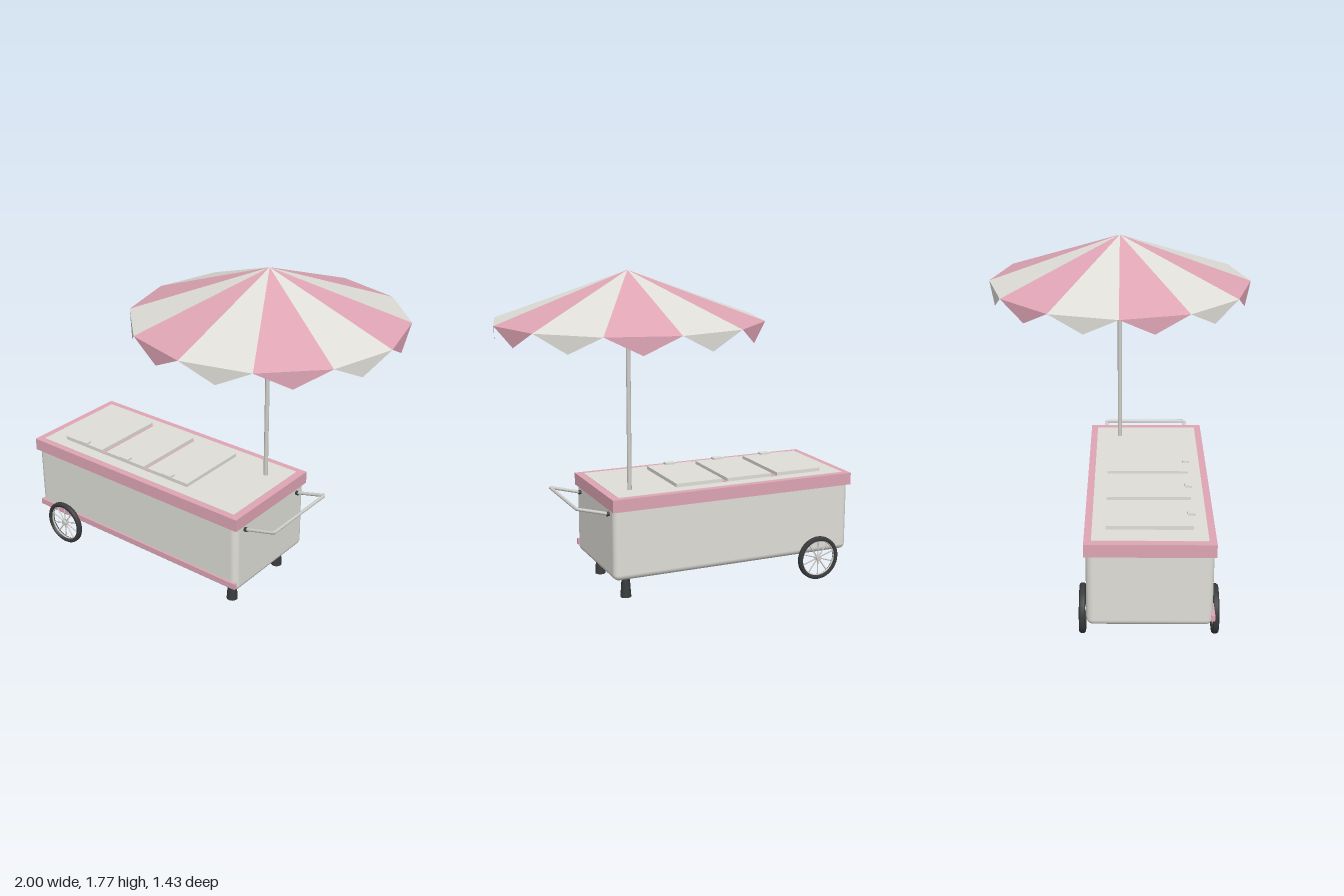
import * as THREE from 'three';
import { RoundedBoxGeometry } from 'three/addons/geometries/RoundedBoxGeometry.js';

const material = (name, color, side = THREE.FrontSide) => {
  const m = new THREE.MeshStandardMaterial({ color, side });
  m.name = name;
  return m;
};

export function createModel() {
  const root = new THREE.Group();
  root.name = 'streetCart';
  const cream = material('cream', 0xdfded8);
  const pink = material('pink', 0xdfa5b5);
  const creamCloth = material('creamCloth', 0xdfded8, THREE.DoubleSide);
  const pinkCloth = material('pinkCloth', 0xdfa5b5, THREE.DoubleSide);
  const metal = material('metal', 0xcfcec9);
  const dark = material('darkRubber', 0x3a3b3d);

  const add = (name, geometry, mat, x = 0, y = 0, z = 0, parent = root) => {
    const mesh = new THREE.Mesh(geometry, mat);
    mesh.name = name;
    mesh.position.set(x, y, z);
    parent.add(mesh);
    return mesh;
  };
  // Box given by its lower and upper corners
  const box = (name, mat, [x0, y0, z0], [x1, y1, z1]) =>
    add(name, new THREE.BoxGeometry(x1 - x0, y1 - y0, z1 - z0), mat,
      (x0 + x1) / 2, (y0 + y1) / 2, (z0 + z1) / 2);

  const midZ = 0.152; // centre line of the cart

  // Cart body with a rounded underside, rim and worktop
  add('body', new RoundedBoxGeometry(1.425, 0.44, 0.614, 4, 0.035), cream, -0.278, 0.365, midZ);
  box('rim', pink, [-1, 0.532, midZ - 0.316], [0.442, 0.6, midZ + 0.316]);
  box('worktop', cream, [-0.962, 0.598, midZ - 0.28], [0.4, 0.602, midZ + 0.28]);
  box('frontTrim', pink, [-0.99, 0.175, 0.45], [0.435, 0.208, 0.47]);

  // Three lids with small grips, pink strips between them
  [-0.715, -0.405, -0.1].forEach((x, i) => {
    box('lid', cream, [x - 0.138, 0.6, -0.062], [x + 0.138, 0.622, 0.365]);
    box('lidGrip', cream, [x - 0.03, 0.62, 0.34], [x + 0.03, 0.633, 0.376]);
    if (i < 2) box('lidDivider', pink, [x + 0.138, 0.6, -0.062], [x + 0.17, 0.604, 0.365]);
  });

  // Spoked wheels
  const makeWheel = (z) => {
    const wheel = new THREE.Group();
    wheel.name = 'wheel';
    wheel.position.set(-0.79, 0.125, z);
    root.add(wheel);
    const profile = [[0.103, -0.012], [0.118, -0.016], [0.125, -0.008], [0.125, 0.008],
      [0.118, 0.016], [0.103, 0.012], [0.103, -0.012]].map(([r, y]) => new THREE.Vector2(r, y));
    add('tyre', new THREE.LatheGeometry(profile, 40), dark, 0, 0, 0, wheel).rotation.x = Math.PI / 2;
    add('wheelRim', new THREE.TorusGeometry(0.102, 0.005, 8, 40), metal, 0, 0, 0, wheel);
    add('hub', new THREE.CylinderGeometry(0.015, 0.015, 0.03, 16), metal, 0, 0, 0, wheel).rotation.x = Math.PI / 2;
    for (let i = 0; i < 10; i++) {
      const a = (i / 10) * Math.PI * 2;
      const spoke = add('spoke', new THREE.CylinderGeometry(0.0035, 0.0035, 0.1, 6), metal,
        -Math.sin(a) * 0.053, Math.cos(a) * 0.053, 0, wheel);
      spoke.rotation.z = a;
    }
  };
  [-1, 1].forEach((s) => makeWheel(midZ + s * 0.33));

  // Tapered feet and handle mounts
  for (const s of [-1, 1]) {
    add('foot', new THREE.CylinderGeometry(0.02, 0.03, 0.14, 20), dark, 0.335, 0.09, midZ + s * 0.205);
    add('handleMount', new THREE.CylinderGeometry(0.012, 0.012, 0.02, 16), dark,
      0.44, 0.506, midZ + s * 0.232).rotation.z = Math.PI / 2;
  }

  // Push handle
  const path = new THREE.CurvePath();
  const corners = [[0.43, 0.504, -0.232], [0.615, 0.553, -0.232], [0.615, 0.553, 0.232], [0.43, 0.504, 0.232]]
    .map(([x, y, z]) => new THREE.Vector3(x, y, midZ + z));
  for (let i = 0; i < 3; i++) path.add(new THREE.LineCurve3(corners[i], corners[i + 1]));
  add('pushHandle', new THREE.TubeGeometry(path, 90, 0.009, 10), metal);

  // Parasol: pole, twelve flat panels and hanging pointed flaps
  const px = 0.287, radius = 0.713, edgeY = 1.52, tipY = 1.43, topY = 1.775;
  add('pole', new THREE.CylinderGeometry(0.012, 0.012, 1.17, 16), metal, px, 1.18, 0);
  const parasol = new THREE.Group();
  parasol.name = 'parasol';
  parasol.position.x = px;
  root.add(parasol);
  const triangle = (a, b, c) => {
    const g = new THREE.BufferGeometry().setFromPoints([a, b, c]);
    g.computeVertexNormals();
    return g;
  };
  const edge = (i) => new THREE.Vector3(
    Math.sin(i * Math.PI / 6) * radius, edgeY, Math.cos(i * Math.PI / 6) * radius);
  for (let i = 0; i < 12; i++) {
    const cloth = i % 2 ? pinkCloth : creamCloth;
    const a = edge(i), b = edge(i + 1);
    const tip = a.clone().add(b).multiplyScalar(0.5).setY(tipY);
    add('parasolPanel', triangle(new THREE.Vector3(0, topY, 0), a, b), cloth, 0, 0, 0, parasol);
    add('parasolFlap', triangle(a, tip, b), cloth, 0, 0, 0, parasol);
  }
  return root;
}
